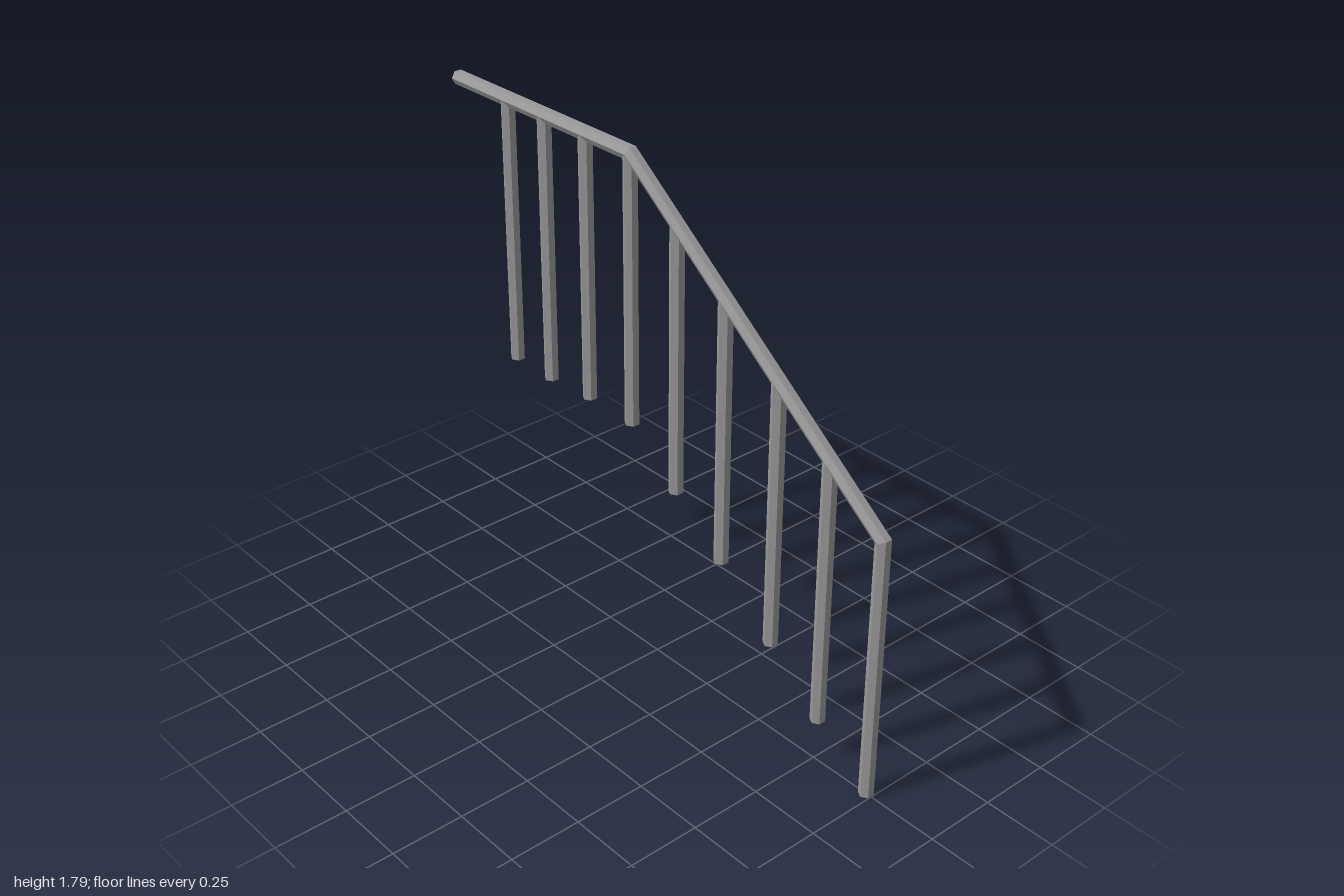
import * as THREE from 'three';

const RADIUS = 0.025;
const SIDES = 6;

// Open hexagonal tube along [y, z] points in the x = 0 plane, with mitred corners
function hexTube(path) {
  const pts = path.map(([y, z]) => new THREE.Vector2(y, z));
  const normals = pts.slice(1).map((p, i) => {
    const t = p.clone().sub(pts[i]).normalize();
    return new THREE.Vector2(-t.y, t.x);
  });
  const position = [];
  const index = [];
  pts.forEach((p, i) => {
    const n0 = normals[Math.max(i - 1, 0)];
    const n1 = normals[Math.min(i, normals.length - 1)];
    const mitre = n0.clone().add(n1).divideScalar(1 + n0.dot(n1));
    for (let j = 0; j < SIDES; j++) {
      const a = (j / SIDES) * Math.PI * 2;
      const s = RADIUS * Math.sin(a);
      position.push(RADIUS * Math.cos(a), p.x + mitre.x * s, p.y + mitre.y * s);
      if (i < pts.length - 1) {
        const k = i * SIDES + j;
        const l = i * SIDES + ((j + 1) % SIDES);
        index.push(k, k + SIDES, l, l, k + SIDES, l + SIDES);
      }
    }
  });
  const geometry = new THREE.BufferGeometry();
  geometry.setAttribute('position', new THREE.Float32BufferAttribute(position, 3));
  geometry.setIndex(index);
  geometry.computeVertexNormals();
  return geometry;
}

export function createModel() {
  const group = new THREE.Group();
  group.name = 'stairRailing';
  const material = new THREE.MeshStandardMaterial({
    color: 0x999999, flatShading: true, side: THREE.DoubleSide,
  });
  const add = (name, path) => {
    const mesh = new THREE.Mesh(hexTube(path), material);
    mesh.name = name;
    group.add(mesh);
  };

  // Front post bending into the sloped rail and then the level rail
  const low = [0.925, 0.978];
  const high = [1.766, -0.12];
  add('handrail', [[0, 0.977], low, high, [high[0], -1]]);

  // Balusters as [z, bottom], each ending at the rail's centre line
  const balusters = [
    [0.758, 0.154], [0.54, 0.327], [0.307, 0.517], [0.09, 0.674],
    [-0.125, 0.833], [-0.339, 0.839], [-0.543, 0.827], [-0.73, 0.831],
  ];
  const slope = (high[0] - low[0]) / (low[1] - high[1]);
  balusters.forEach(([z, bottom], i) => {
    const top = Math.min(high[0], low[0] + (low[1] - z) * slope);
    add(`baluster${i + 1}`, [[bottom, z], [top, z]]);
  });
  return group;
}
